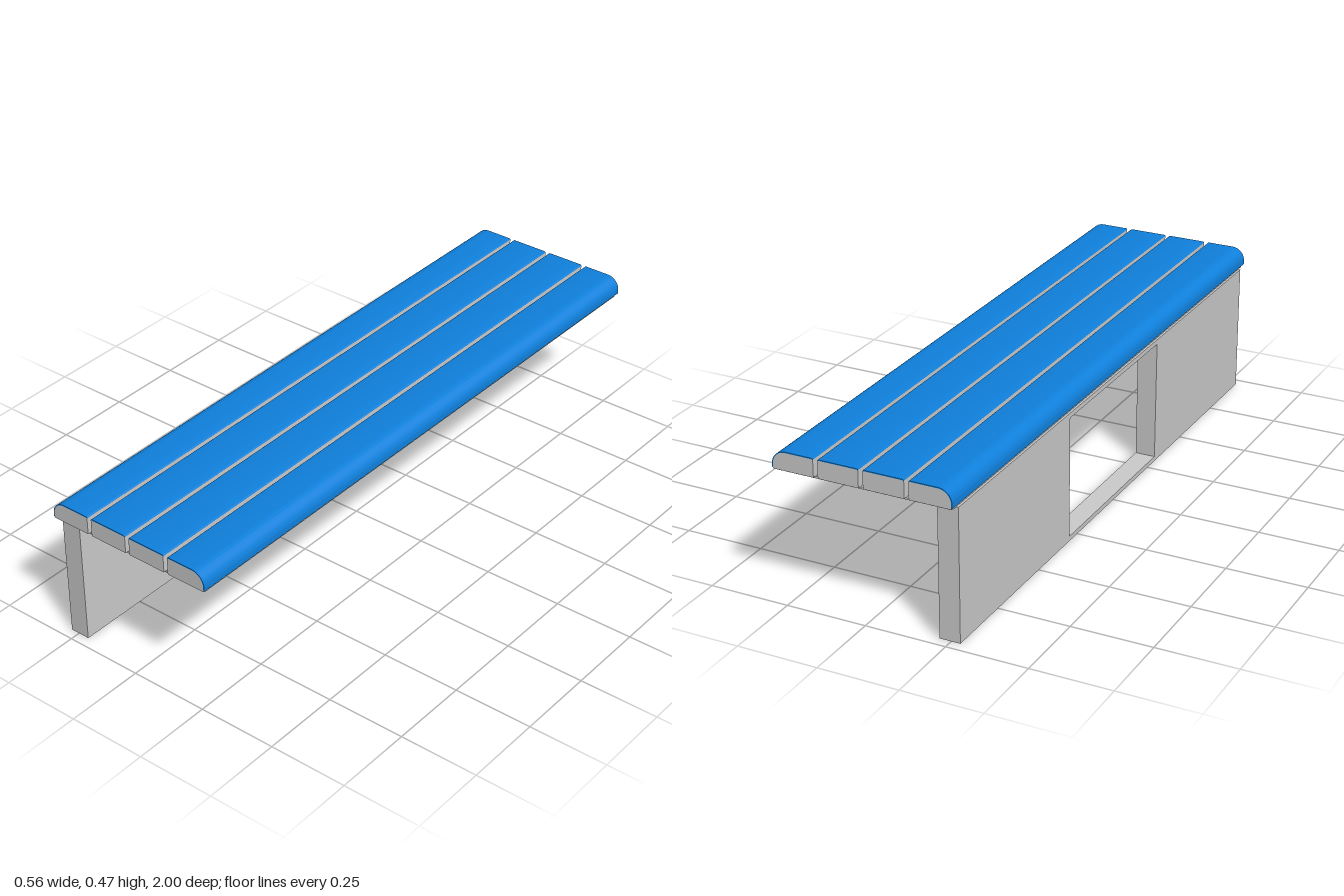
import * as THREE from 'three';
import { toCreasedNormals } from 'three/addons/utils/BufferGeometryUtils.js';

const grey = new THREE.MeshStandardMaterial({ color: 0xcccccc });
const blue = new THREE.MeshStandardMaterial({ color: 0x0f80dc });

// Extrude a shape along z, centred on z = 0, with only sharp edges creased
function extrude(name, shape, length, material) {
  const geo = new THREE.ExtrudeGeometry(shape, { depth: length, bevelEnabled: false, curveSegments: 10 });
  geo.translate(0, 0, -length / 2);
  const mesh = new THREE.Mesh(toCreasedNormals(geo, 0.6), material);
  mesh.name = name;
  return mesh;
}

function box(name, x0, x1, y0, y1, length) {
  const mesh = new THREE.Mesh(new THREE.BoxGeometry(x1 - x0, y1 - y0, length), grey);
  mesh.position.set((x0 + x1) / 2, (y0 + y1) / 2, 0);
  mesh.name = name;
  return mesh;
}

// Outline over a slat, from lower left to lower right, with a radius at each top corner
function topOutline(x0, x1, yLeft, yRight, top, rLeft, rRight) {
  const path = new THREE.Path();
  path.moveTo(x0, yLeft);
  path.lineTo(x0, top - rLeft);
  path.absarc(x0 + rLeft, top - rLeft, rLeft, Math.PI, Math.PI / 2, true);
  path.lineTo(x1 - rRight, top);
  path.absarc(x1 - rRight, top - rRight, rRight, Math.PI / 2, 0, true);
  path.lineTo(x1, yRight);
  return path.getPoints(10);
}

const BOTTOM = 0.417, TOP = 0.474, SKIN = 0.003, BIG = 0.042, SMALL = 0.004;

// One slat: a grey core under a thin blue cover that wraps the outer edge
function slat(x0, x1, roundLeft, roundRight) {
  const group = new THREE.Group();
  group.name = 'slat';
  const rl = roundLeft ? BIG : SMALL, rr = roundRight ? BIG : SMALL;
  const lip = TOP - SMALL;
  const yl = roundLeft ? BOTTOM + 0.003 : lip, yr = roundRight ? BOTTOM + 0.003 : lip;
  const inner = (yA, yB) =>
    topOutline(x0 + SKIN * roundLeft, x1 - SKIN * roundRight, yA, yB, TOP - SKIN,
      roundLeft ? rl - SKIN : 0.001, roundRight ? rr - SKIN : 0.001);
  const core = new THREE.Shape(inner(BOTTOM, BOTTOM));
  const cover = new THREE.Shape([
    ...topOutline(x0, x1, yl, yr, TOP, rl, rr),
    ...inner(yl, yr).reverse(),
  ]);
  group.add(extrude('slatCore', core, 2, grey), extrude('slatCover', cover, 2, blue));
  return group;
}

export function createModel() {
  const model = new THREE.Group();
  model.name = 'bench';

  // Upright support wall with a rectangular opening
  const wall = new THREE.Shape();
  wall.moveTo(-0.968, 0).lineTo(0.968, 0).lineTo(0.968, 0.401).lineTo(-0.968, 0.401).closePath();
  const hole = new THREE.Path();
  hole.moveTo(-0.302, 0.015).lineTo(-0.302, 0.396).lineTo(0.302, 0.396).lineTo(0.302, 0.015).closePath();
  wall.holes.push(hole);
  const support = extrude('supportWall', wall, 0.064, grey);
  support.rotation.y = Math.PI / 2;
  support.position.x = -0.246;
  model.add(support);

  // Cantilevered plate and the backing plate under the slats
  model.add(box('seatPlate', -0.278, 0.249, 0.401, 0.411, 1.936));
  model.add(box('backingPlate', -0.271, 0.271, 0.411, BOTTOM, 1.98));

  // Four slats, mirrored about the centre
  const seat = new THREE.Group();
  seat.name = 'seatSlats';
  seat.add(slat(0.007, 0.133, 0, 0), slat(0.147, 0.277, 0, 1));
  seat.add(slat(-0.133, -0.007, 0, 0), slat(-0.277, -0.147, 1, 0));
  model.add(seat);
  return model;
}
